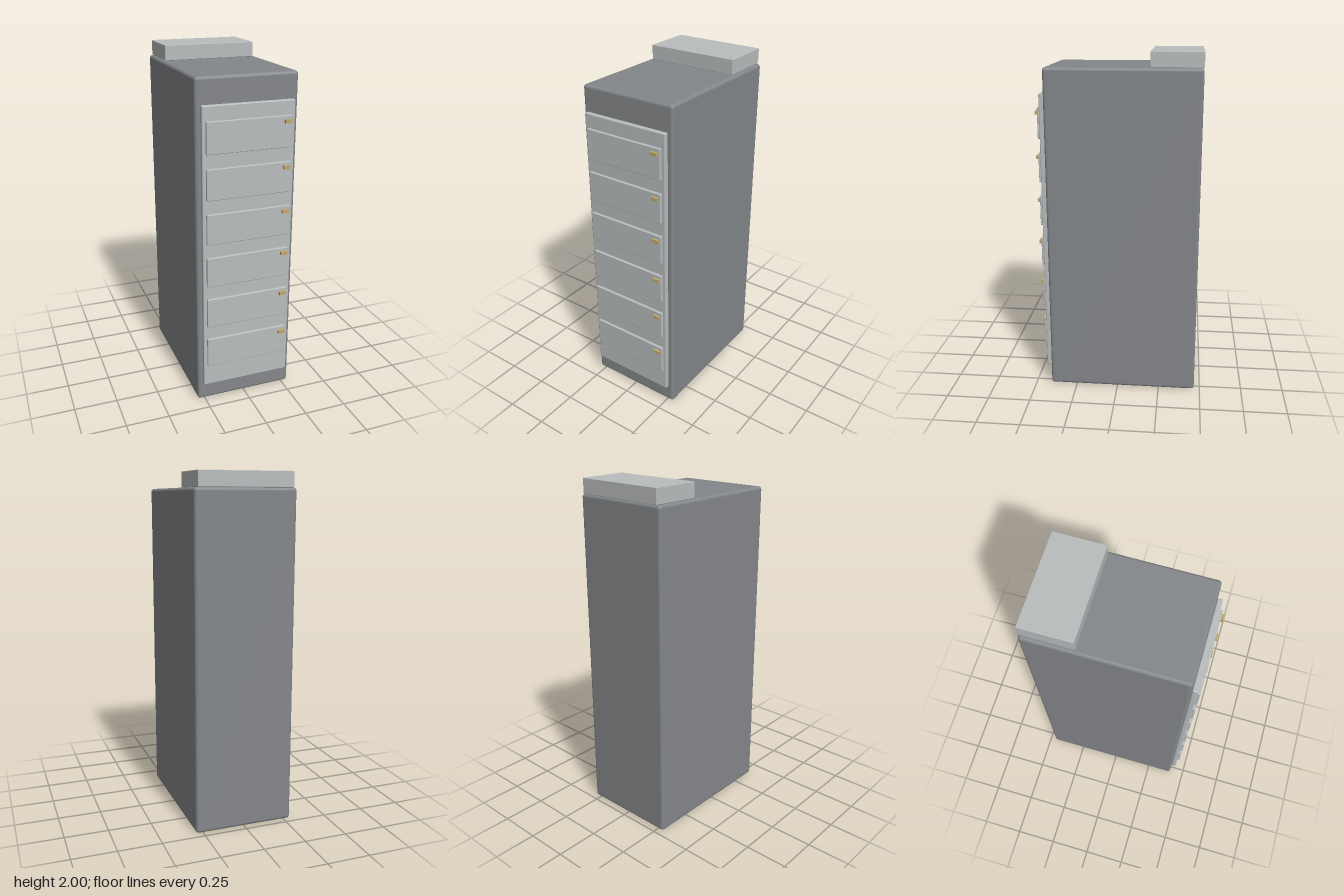
import * as THREE from 'three';
import { RoundedBoxGeometry } from 'three/addons/geometries/RoundedBoxGeometry.js';

const material = (name, color) => {
  const m = new THREE.MeshStandardMaterial({ color });
  m.name = name;
  return m;
};

export function createModel() {
  const model = new THREE.Group();
  model.name = 'lockerCabinet';
  const darkGrey = material('dark grey', 0x84878a);
  const lightGrey = material('light grey', 0xb9bdbd);
  const brass = material('brass', 0xbfa76a);

  // Box between two corners, with an optional edge radius
  const addBox = (parent, name, mat, [x0, y0, z0], [x1, y1, z1], radius = 0) => {
    const size = [x1 - x0, y1 - y0, z1 - z0];
    const geometry = radius
      ? new RoundedBoxGeometry(...size, 2, radius)
      : new THREE.BoxGeometry(...size);
    const mesh = new THREE.Mesh(geometry, mat);
    mesh.name = name;
    mesh.position.set((x0 + x1) / 2, (y0 + y1) / 2, (z0 + z1) / 2);
    parent.add(mesh);
  };

  // Body, top housing and front panel
  addBox(model, 'cabinetBody', darkGrey, [-0.291, 0, -0.466], [0.291, 1.914, 0.408], 0.018);
  addBox(model, 'topHousing', lightGrey, [-0.271, 1.914, -0.467], [0.271, 2, -0.178], 0.003);
  addBox(model, 'frontPanel', lightGrey, [-0.263, 0.112, 0.408], [0.263, 1.77, 0.437], 0.006);

  // Six drawers, each with a small latch near its upper left corner
  for (let i = 0; i < 6; i++) {
    const y = 0.247 + i * 0.2536;
    const drawer = new THREE.Group();
    drawer.name = `drawer${i + 1}`;
    addBox(drawer, 'drawerFront', lightGrey, [-0.243, y, 0.43], [0.243, y + 0.175, 0.452], 0.004);
    addBox(drawer, 'latch', brass, [0.194, y + 0.135, 0.452], [0.232, y + 0.155, 0.467]);
    model.add(drawer);
  }
  return model;
}
